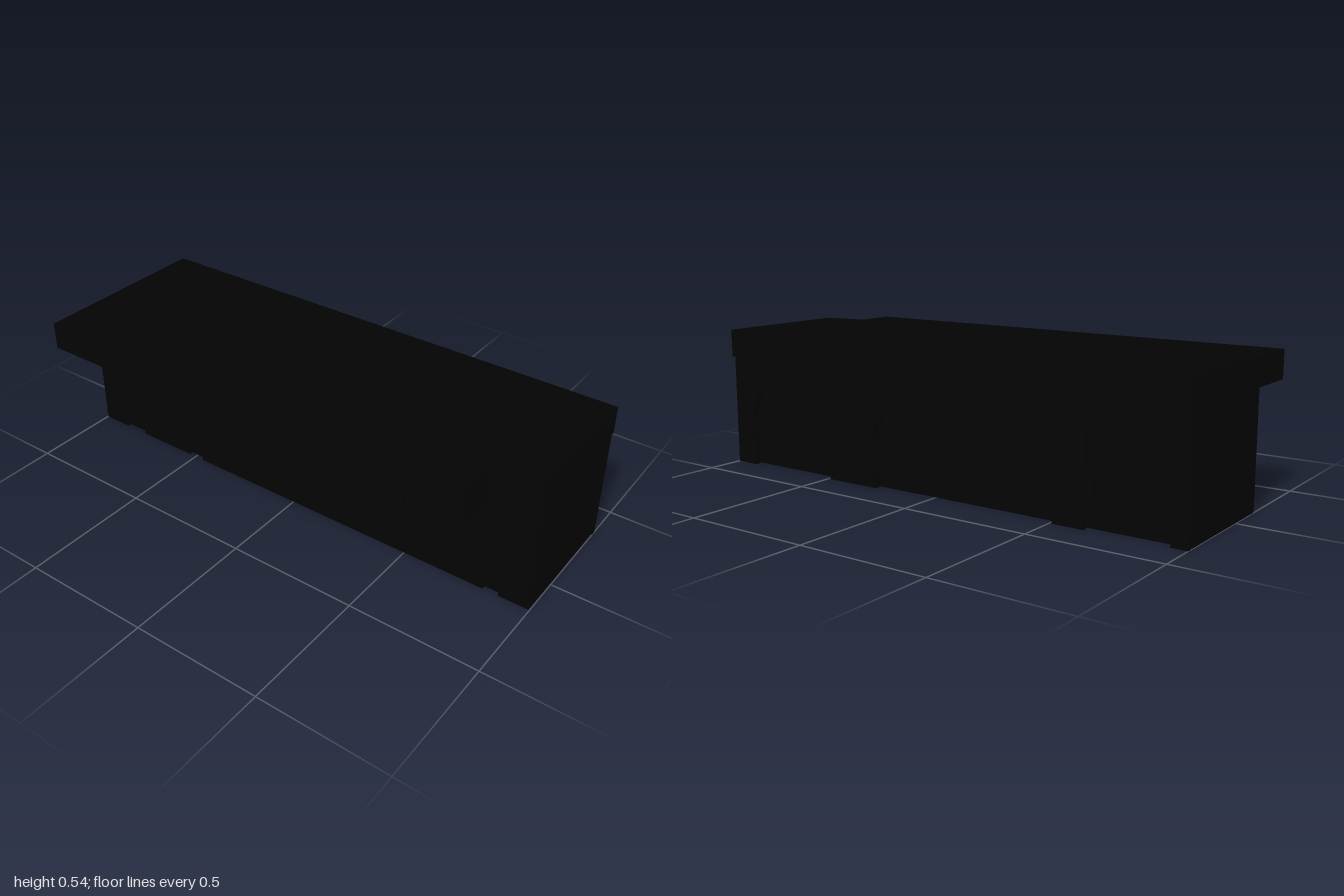
import * as THREE from 'three';

export function createModel() {
  const model = new THREE.Group();
  const black = new THREE.MeshStandardMaterial({ color: 0x030303 });
  black.name = 'black';

  const add = (name, geometry, x = 0, y = 0, z = 0) => {
    const mesh = new THREE.Mesh(geometry, black);
    mesh.name = name;
    mesh.position.set(x, y, z);
    model.add(mesh);
    return mesh;
  };
  // Box given by its minimum and maximum corners
  const box = (name, x0, x1, y0, y1, z0, z1) =>
    add(name, new THREE.BoxGeometry(x1 - x0, y1 - y0, z1 - z0),
      (x0 + x1) / 2, (y0 + y1) / 2, (z0 + z1) / 2);
  const outline = (pts) => new THREE.Shape(pts.map(([a, b]) => new THREE.Vector2(a, b)));
  const rect = (a0, a1, b0, b1) => [[a0, b0], [a1, b0], [a1, b1], [a0, b1]];
  const extrude = (shape, depth) =>
    new THREE.ExtrudeGeometry(shape, { depth, bevelEnabled: false });
  // Upright slab drawn in (z, y), with its outer face at xMax
  const sideSlab = (name, shape, xMax, depth) =>
    add(name, extrude(shape, depth).rotateY(-Math.PI / 2), xMax);
  // Flat slab drawn in (x, z), hanging down from yMax
  const flatSlab = (name, shape, yMax, depth) =>
    add(name, extrude(shape, depth).rotateX(Math.PI / 2), 0, yMax);

  // Overhanging top with a notched front corner
  flatSlab('roof', outline([[-0.369, -1], [0.369, -1], [0.369, 1], [-0.185, 1],
    [-0.215, 0.825], [-0.369, 0.825]]), 0.54, 0.107);

  // Main body, standing on a notched base with a shallow recess underneath
  const back = -0.999, front = 0.996;
  box('body', -0.14, 0.305, 0.015, 0.434, back, front);
  const edge = [[0.325, back], [0.325, front], [-0.158, front]];
  for (const [z0, z1] of [[0.88, 0.82], [-0.46, -0.53], [-0.78, -0.88]]) {
    edge.push([-0.158, z0], [-0.13, z0], [-0.13, z1], [-0.158, z1]);
  }
  edge.push([-0.158, back]);
  const base = outline(edge);
  base.holes.push(outline(rect(-0.095, 0.28, -0.55, 0.65)));
  flatSlab('base', base, 0.015, 0.015);

  // Side walls with recessed windows, given as [z0, z1, y0, y1]
  const windowWall = (name, xMax, depth, windows) => {
    const wall = outline(rect(back, front, 0.015, 0.434));
    for (const w of windows) wall.holes.push(outline(rect(...w)));
    sideSlab(name, wall, xMax, depth);
  };
  windowWall('outerWall', -0.14, 0.018, [[-0.51, 0.25, 0.14, 0.38], [0.48, 0.88, 0.14, 0.38]]);
  windowWall('facadeSideWall', 0.325, 0.02, [[-0.94, -0.645, 0.08, 0.365]]);

  // Free-standing facade: posts, two jagged arches and a doorway
  sideSlab('facade', outline([
    [1, 0], [1, 0.434], [-1, 0.434], [-1, 0],
    [-0.94, 0], [-0.94, 0.375], [-0.63, 0.375], [-0.63, 0],
    [-0.51, 0], [-0.51, 0.3], [-0.4, 0.345], [-0.33, 0.295], [-0.24, 0.35],
    [-0.14, 0.29], [-0.05, 0.345], [0.06, 0.3], [0.14, 0.31], [0.22, 0.285], [0.26, 0.23], [0.26, 0],
    [0.49, 0], [0.49, 0.25], [0.54, 0.325], [0.6, 0.295], [0.67, 0.34],
    [0.74, 0.345], [0.83, 0.32], [0.88, 0.28], [0.9, 0.22], [0.9, 0],
  ]), 0.355, 0.02);

  // Front end: mirrored grips and corner plates about the body centre
  const cx = 0.0835;
  for (const s of [-1, 1]) {
    add('frontGrip', new THREE.BoxGeometry(0.014, 0.11, 0.008), cx + s * 0.195, 0.225, 0.995);
    add('cornerPlate', new THREE.BoxGeometry(0.024, 0.075, 0.008), cx + s * 0.212, 0.0725, 0.995);
  }
  box('frontPlate', 0.03, 0.14, 0.04, 0.06, 0.991, 0.999);
  box('frontTrim', -0.01, 0.18, 0.405, 0.425, 0.991, 0.999);

  return model;
}
